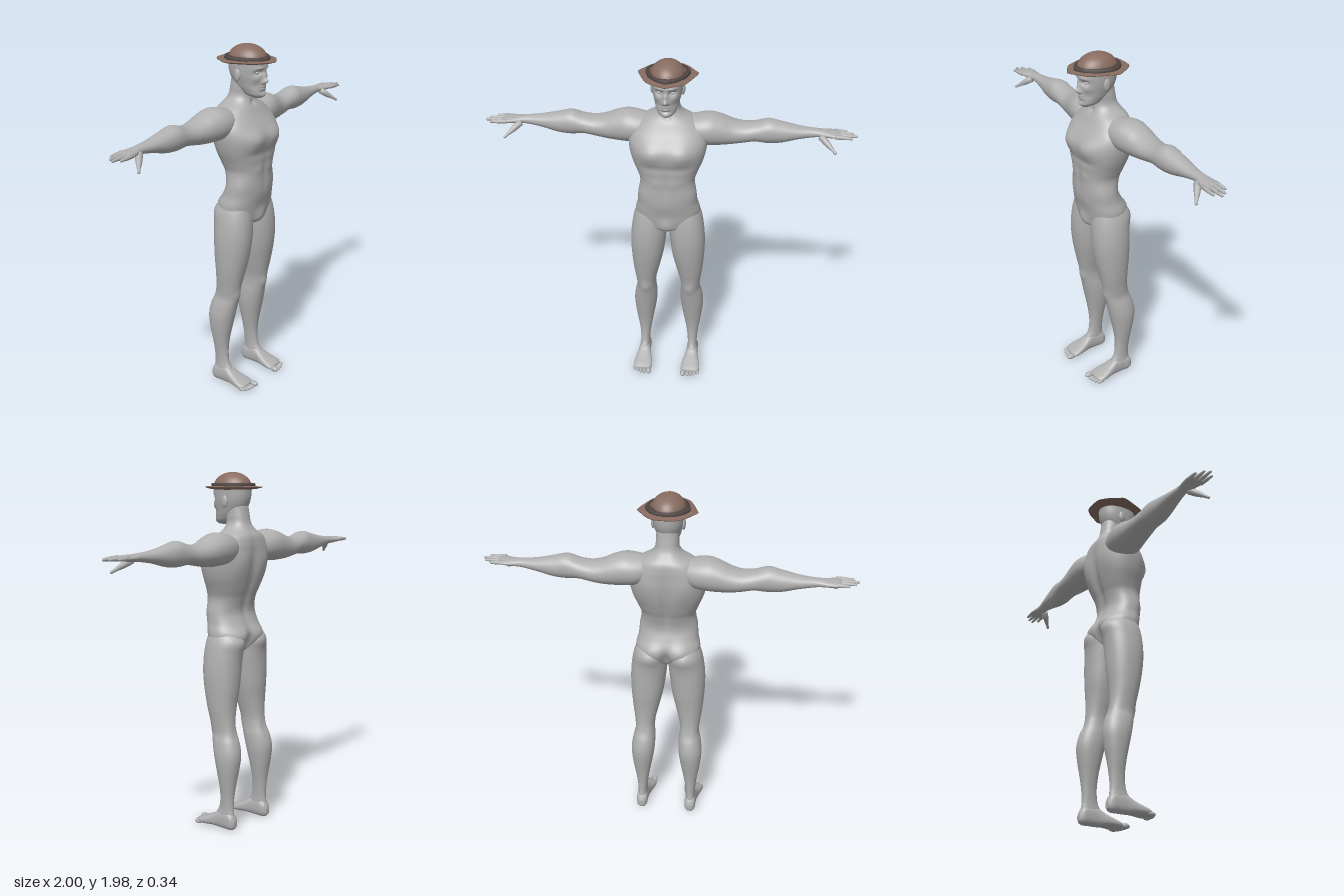
import * as THREE from 'three';
import { mergeVertices } from 'three/addons/utils/BufferGeometryUtils.js';

const mat = (name, color) => Object.assign(new THREE.MeshStandardMaterial({ color }), { name });

// Smooth closed loft. Each row: [t, u0, u1, v0, v1] = extents of a superellipse at t along the axis.
// Axis y: u = x, v = z.  Axis x: u = z, v = y.  Axis z: u = y, v = x.
function loft(axis, rows, { seg = 40, steps = 6, power = 2.3 } = {}) {
  const curve = new THREE.CubicInterpolant(rows.map((r) => r[0]), rows.flat(), 5);
  const pos = [], idx = [], n = (rows.length - 1) * steps;
  const put = (t, u, v) => pos.push(...(axis === 'y' ? [u, t, v] : axis === 'x' ? [t, v, u] : [v, u, t]));
  const round = (c) => Math.sign(c) * Math.abs(c) ** (2 / power);
  for (let i = 0; i <= n; i++) {
    const k = Math.min(Math.floor(i / steps), rows.length - 2), f = i / steps - k;
    const [t, u0, u1, v0, v1] = curve.evaluate(THREE.MathUtils.lerp(rows[k][0], rows[k + 1][0], f));
    for (let j = 0; j < seg; j++) {
      const a = (j / seg) * Math.PI * 2;
      put(t, (u0 + u1) / 2 + ((u1 - u0) / 2) * round(Math.cos(a)), (v0 + v1) / 2 + ((v1 - v0) / 2) * round(Math.sin(a)));
    }
  }
  for (let i = 0; i < n; i++) for (let j = 0; j < seg; j++) {
    const a = i * seg + j, b = i * seg + ((j + 1) % seg);
    idx.push(a, a + seg, b, b, a + seg, b + seg);
  }
  for (const [r, last] of [[rows[0], false], [rows[rows.length - 1], true]]) {
    const c = pos.length / 3, base = last ? n * seg : 0;
    put(r[0], (r[1] + r[2]) / 2, (r[3] + r[4]) / 2);
    for (let j = 0; j < seg; j++) {
      const a = base + j, b = base + ((j + 1) % seg);
      idx.push(...(last ? [c, b, a] : [c, a, b]));
    }
  }
  const g = new THREE.BufferGeometry();
  g.setAttribute('position', new THREE.Float32BufferAttribute(pos, 3));
  g.setIndex(idx);
  g.computeVertexNormals();
  return g;
}

// Push the surface in or out along z with soft bumps: [x, y, z, sizeX, sizeY, sizeZ, dz], mirrored in x.
function sculpt(g, bumps) {
  const p = g.attributes.position;
  for (let i = 0; i < p.count; i++) {
    const x = p.getX(i), y = p.getY(i), z = p.getZ(i);
    let dz = 0;
    for (const [bx, by, bz, sx, sy, sz, d] of bumps)
      for (const s of bx ? [1, -1] : [1])
        dz += d * Math.exp(-(((x - s * bx) / sx) ** 2) - ((y - by) / sy) ** 2 - ((z - bz) / sz) ** 2);
    p.setZ(i, z + dz);
  }
  g.computeVertexNormals();
  return g;
}

function mirror(geo) {
  const g = geo.clone().scale(-1, 1, 1), ix = g.index.array;
  for (let i = 0; i < ix.length; i += 3) [ix[i], ix[i + 1]] = [ix[i + 1], ix[i]];
  g.computeVertexNormals();
  return g;
}

// Tapered digit with a rounded tip
function digit(a, b, r0, r1) {
  const A = new THREE.Vector3(...a), d = new THREE.Vector3(...b).sub(A), L = d.length();
  const pts = [[0, 0], [r0, 0], [r0 * 0.9, L * 0.3], [(r0 + r1) * 0.52, L * 0.5], [r1, L * 0.75],
    [r1 * 0.85, L - r1 * 0.6], [r1 * 0.5, L - r1 * 0.15], [0, L]].map((p) => new THREE.Vector2(...p));
  const q = new THREE.Quaternion().setFromUnitVectors(new THREE.Vector3(0, 1, 0), d.normalize());
  return new THREE.LatheGeometry(pts, 12).applyQuaternion(q).translate(A.x, A.y, A.z);
}

const ball = (x, y, z, sx, sy, sz) => new THREE.SphereGeometry(1, 20, 14).scale(sx, sy, sz).translate(x, y, z);

// Sweep a [radius factor, y] profile around half an outline of [x, z] points, mirrored in x
function outlineLathe(profile, half) {
  const back = half.slice(1, -1).reverse().map(([x, z]) => [-x, z]);
  const curve = new THREE.CatmullRomCurve3([...half, ...back].map(([x, z]) => new THREE.Vector3(x, 0, z)), true, 'catmullrom', 0.35);
  const g = new THREE.LatheGeometry(profile.map((p) => new THREE.Vector2(...p)), 72);
  const p = g.attributes.position, uv = g.attributes.uv, c = new THREE.Vector3();
  for (let i = 0; i < p.count; i++) {
    curve.getPoint(uv.getX(i) % 1, c);
    const r = profile[i % profile.length][0];
    p.setXYZ(i, c.x * r, p.getY(i), c.z * r);
  }
  g.deleteAttribute('uv');
  g.deleteAttribute('normal');
  const m = mergeVertices(g, 1e-5);
  m.computeVertexNormals();
  return m;
}

export function createModel() {
  const model = new THREE.Group();
  const skin = mat('grey skin', 0xb0b0b0), felt = mat('brown felt', 0x886c60), trim = mat('dark trim', 0x4e4542);
  const add = (name, geo, m = skin) => {
    const mesh = new THREE.Mesh(geo, m);
    mesh.name = name;
    model.add(mesh);
  };
  const pair = (name, geo) => { add(name + 'Left', geo); add(name + 'Right', mirror(geo)); };

  // Torso and neck: [y, half width, back z, front z]
  const sym = (r) => [r[0], -r[1], r[1], r[2], r[3]];
  add('torso', sculpt(loft('y', [
    [0.985, 0.03, -0.06, 0.05], [1.0, 0.08, -0.09, 0.07], [1.04, 0.16, -0.125, 0.078], [1.1, 0.178, -0.14, 0.088],
    [1.16, 0.165, -0.115, 0.098], [1.22, 0.16, -0.095, 0.105], [1.3, 0.149, -0.112, 0.107], [1.35, 0.165, -0.132, 0.11],
    [1.42, 0.193, -0.153, 0.118], [1.5, 0.21, -0.163, 0.115], [1.56, 0.207, -0.165, 0.09], [1.6, 0.185, -0.165, 0.065],
    [1.64, 0.145, -0.158, 0.042], [1.67, 0.092, -0.138, 0.025], [1.7, 0.066, -0.12, 0.015], [1.75, 0.06, -0.108, 0.02],
    [1.8, 0.058, -0.1, 0.03],
  ].map(sym), { seg: 72 }), [
    [0.085, 1.49, 0.11, 0.07, 0.055, 0.08, 0.024], // chest
    [0.07, 1.405, 0.11, 0.08, 0.02, 0.06, -0.006],
    [0, 1.3, 0.1, 0.012, 0.12, 0.05, -0.006], // abdomen centre line
    [0.05, 1.31, 0.1, 0.035, 0.025, 0.05, 0.004],
    [0, 1.17, 0.1, 0.09, 0.05, 0.06, 0.005], // lower belly
    [0, 1.035, 0.08, 0.035, 0.035, 0.06, 0.014],
    [0, 1.37, -0.14, 0.024, 0.2, 0.08, 0.018], // spine
    [0.1, 1.5, -0.16, 0.06, 0.08, 0.08, -0.012], // shoulder blades
    [0.085, 1.085, -0.13, 0.055, 0.055, 0.08, -0.016], // buttocks
    [0, 1.05, -0.14, 0.018, 0.06, 0.08, 0.035],
    [0, 1.665, 0.025, 0.016, 0.016, 0.04, -0.012], // throat notch
  ]));

  // Head with sculpted face
  add('head', sculpt(loft('y', [
    [1.697, 0.018, 0.03, 0.08], [1.71, 0.04, -0.005, 0.094], [1.74, 0.057, -0.05, 0.098], [1.78, 0.069, -0.09, 0.098],
    [1.82, 0.079, -0.11, 0.1], [1.87, 0.084, -0.118, 0.103], [1.91, 0.083, -0.116, 0.1], [1.95, 0.055, -0.08, 0.07],
  ].map(sym), { seg: 96, steps: 10, power: 2.2 }), [
    [0, 1.792, 0.1, 0.012, 0.015, 0.05, 0.026], // nose
    [0, 1.82, 0.1, 0.011, 0.022, 0.05, 0.014],
    [0.013, 1.785, 0.1, 0.009, 0.009, 0.05, 0.008],
    [0.034, 1.838, 0.09, 0.019, 0.012, 0.05, -0.017], // eye sockets
    [0.032, 1.862, 0.09, 0.026, 0.008, 0.05, 0.006], // brows
    [0.05, 1.805, 0.08, 0.02, 0.015, 0.05, 0.005], // cheekbones
    [0.045, 1.765, 0.08, 0.018, 0.02, 0.05, -0.006],
    [0, 1.763, 0.1, 0.022, 0.006, 0.05, 0.007], // lips
    [0, 1.748, 0.1, 0.019, 0.006, 0.05, 0.007],
    [0, 1.735, 0.1, 0.022, 0.007, 0.05, -0.006],
    [0, 1.712, 0.09, 0.022, 0.012, 0.05, 0.006], // chin
  ]));
  pair('eye', ball(0.033, 1.837, 0.074, 0.014, 0.009, 0.013));
  pair('ear', ball(0.08, 1.822, -0.018, 0.011, 0.034, 0.02).rotateX(0));

  // Arm and palm: [x, back z, front z, bottom y, top y]
  pair('arm', loft('x', [
    [0.07, -0.13, -0.01, 1.53, 1.64], [0.15, -0.165, 0.025, 1.495, 1.655], [0.22, -0.175, 0.025, 1.487, 1.664],
    [0.28, -0.173, 0.01, 1.487, 1.65], [0.34, -0.17, -0.005, 1.492, 1.625], [0.4, -0.165, -0.014, 1.502, 1.612],
    [0.46, -0.156, -0.02, 1.511, 1.618], [0.53, -0.15, -0.02, 1.505, 1.638], [0.6, -0.145, -0.028, 1.51, 1.624],
    [0.7, -0.131, -0.045, 1.535, 1.603], [0.79, -0.118, -0.055, 1.55, 1.594], [0.84, -0.124, -0.042, 1.554, 1.59],
    [0.885, -0.126, -0.03, 1.559, 1.588], [0.908, -0.12, -0.034, 1.565, 1.584],
  ], { power: 2.1 }));
  [[-0.036, -0.028, 0.972], [-0.061, -0.057, 1.0], [-0.086, -0.086, 0.985], [-0.111, -0.115, 0.95]].forEach(([z0, z1, tip], i) =>
    pair('finger' + (i + 1), digit([0.88, 1.575, z0], [tip, 1.572, z1], 0.0125, 0.008)));
  pair('thumb', digit([0.81, 1.562, -0.06], [0.892, 1.497, 0.01], 0.02, 0.009));

  // Leg: [y, inner x, outer x, back z, front z]
  pair('leg', sculpt(loft('y', [
    [0.04, 0.122, 0.168, -0.13, -0.02], [0.08, 0.117, 0.173, -0.138, -0.015], [0.12, 0.117, 0.171, -0.133, -0.038],
    [0.2, 0.109, 0.177, -0.136, -0.049], [0.28, 0.095, 0.19, -0.147, -0.042], [0.35, 0.082, 0.2, -0.16, -0.028],
    [0.43, 0.071, 0.205, -0.168, -0.01], [0.5, 0.07, 0.196, -0.155, 0.006], [0.55, 0.074, 0.184, -0.136, 0.016],
    [0.6, 0.072, 0.187, -0.123, 0.024], [0.7, 0.049, 0.2, -0.121, 0.047], [0.8, 0.026, 0.208, -0.13, 0.068],
    [0.9, 0.012, 0.21, -0.135, 0.08], [1.0, 0.003, 0.201, -0.139, 0.079], [1.07, 0.004, 0.186, -0.14, 0.07],
    [1.14, 0.03, 0.155, -0.09, 0.05],
  ], { power: 2.15 }), [
    [0.128, 0.565, 0.02, 0.028, 0.035, 0.04, 0.008], // kneecap
    [0.085, 1.06, -0.14, 0.06, 0.06, 0.08, -0.014], // buttock
    [0.128, 0.54, -0.135, 0.02, 0.05, 0.04, 0.007], // hollow behind the knee
  ]));

  // Foot: [z, bottom y, top y, inner x, outer x]
  pair('foot', loft('z', [
    [-0.152, 0.018, 0.055, 0.13, 0.16], [-0.138, 0.004, 0.085, 0.117, 0.173], [-0.09, 0, 0.105, 0.113, 0.177],
    [-0.04, 0.001, 0.1, 0.11, 0.18], [0.0, 0.004, 0.076, 0.1, 0.188], [0.045, 0.003, 0.055, 0.09, 0.198],
    [0.085, 0.003, 0.038, 0.09, 0.196], [0.1, 0.008, 0.03, 0.098, 0.18],
  ], { power: 2.5 }));
  for (let i = 0; i < 5; i++) {
    const r = i ? 0.0105 : 0.016;
    pair('toe' + (i + 1), ball(i ? 0.113 + i * 0.0195 : 0.104, r + 0.002, 0.112 - i * i * 0.0016, r, r, i ? 0.024 : 0.027));
  }

  // Hat: domed crown, banded base and pointed brim
  add('hatCrown', new THREE.SphereGeometry(1, 48, 20, 0, Math.PI * 2, 0, Math.PI / 2)
    .scale(0.091, 0.082, 0.114).translate(0, 1.896, -0.008), felt);
  add('hatBand', outlineLathe([[0.8, 1.893], [1, 1.895], [1.02, 1.905], [1, 1.917], [0.8, 1.92]],
    [[0, 0.125], [0.05, 0.1], [0.095, 0.045], [0.116, -0.035], [0.09, -0.09], [0.05, -0.122], [0, -0.132]]), trim);
  add('hatBrim', outlineLathe([[0, 1.884], [0.6, 1.884], [0.85, 1.889], [1, 1.897], [0.98, 1.9], [0.85, 1.901], [0.6, 1.906], [0, 1.906]],
    [[0, 0.168], [0.045, 0.145], [0.1, 0.105], [0.13, 0.04], [0.158, -0.045], [0.135, -0.085], [0.105, -0.13], [0.06, -0.168], [0, -0.174]]), felt);
  return model;
}
